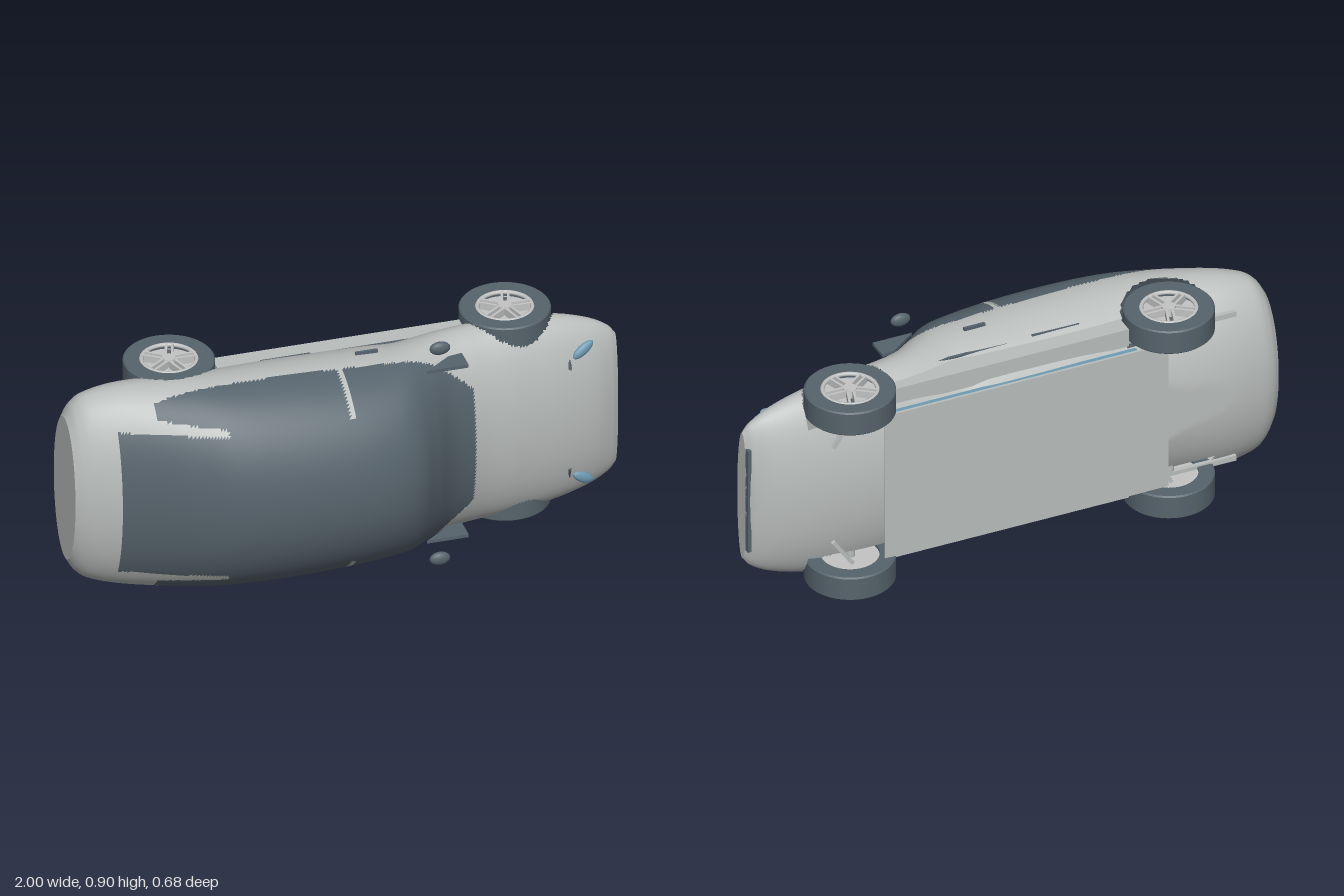
import * as THREE from 'three';

const mat = (name, color, side = THREE.FrontSide) => {
  const m = new THREE.MeshStandardMaterial({ color, side });
  m.name = name;
  return m;
};

const MID = 0.45; // height of the car's centre plane: the car lies on its side, roof towards +z
const WHEELS = [-0.59, 0.625], WHEEL_Z = -0.185;

// Stations along the car: x, roof z, underside z, half width
const STATIONS = [
  [-1, 0.055, -0.205, 0.28], [-0.97, 0.075, -0.228, 0.33], [-0.92, 0.1, -0.243, 0.365],
  [-0.8, 0.155, -0.258, 0.392], [-0.6, 0.25, -0.265, 0.402], [-0.45, 0.305, -0.28, 0.402],
  [-0.25, 0.331, -0.3, 0.4], [-0.05, 0.335, -0.31, 0.393], [0.1, 0.318, -0.31, 0.387],
  [0.19, 0.283, -0.29, 0.384], [0.27, 0.21, -0.28, 0.383], [0.36, 0.127, -0.27, 0.383],
  [0.48, 0.075, -0.26, 0.385], [0.62, 0.047, -0.255, 0.384], [0.78, 0.018, -0.24, 0.366],
  [0.9, -0.012, -0.212, 0.332], [0.97, -0.045, -0.175, 0.295], [1, -0.067, -0.145, 0.26]];

// Glass covers the windscreen, roof and rear screen in one sweep, plus the side windows
function isGlass(x, w, z) {
  if (z < 0.056 || x < -0.85 || x > 0.44 - Math.max(0, w - 0.23)) return false;
  if (w < 0.28) return true;
  if (Math.abs(x + 0.045) < 0.01 && w > 0.285) return false;              // centre pillar
  if (x < -0.49) return x > -0.72 && w > 0.3 + (-0.49 - x) * 0.1;         // rear pillar
  return true;
}

// Lofted elliptical shell with wheel arches left open
function bodyGeometry() {
  const heights = new THREE.CatmullRomCurve3(STATIONS.map(s => new THREE.Vector3(s[0], s[1], s[2])), false, 'catmullrom', 0.5);
  const widths = new THREE.CatmullRomCurve3(STATIONS.map(s => new THREE.Vector3(s[0], s[3], 0)), false, 'catmullrom', 0.5);
  const NX = 238, NT = 160, pos = [], paint = [], glass = [];
  for (let i = 0; i <= NX; i++) {
    const h = heights.getPoint(i / NX), a = widths.getPoint(i / NX).y;
    for (let j = 0; j < NT; j++) {
      const t = (j / NT) * Math.PI * 2;
      const z = (h.y + h.z) / 2 + (h.y - h.z) / 2 * Math.sin(t);
      pos.push(h.x, MID + a * Math.cos(t), Math.max(z, -0.258));
    }
  }
  const addTri = (...v) => {
    const c = k => (pos[v[0] * 3 + k] + pos[v[1] * 3 + k] + pos[v[2] * 3 + k]) / 3;
    const x = c(0), w = Math.abs(c(1) - MID), z = c(2);
    if (w > 0.27 && WHEELS.some(cx => Math.hypot(x - cx, z - WHEEL_Z) < 0.166)) return;
    (isGlass(x, w, z) ? glass : paint).push(...v);
  };
  for (let i = 0; i < NX; i++) for (let j = 0; j < NT; j++) {
    const k = (j + 1) % NT, a = i * NT + j, b = i * NT + k, c = a + NT, d = b + NT;
    addTri(a, b, c);
    addTri(b, d, c);
  }
  const g = new THREE.BufferGeometry();
  g.setAttribute('position', new THREE.Float32BufferAttribute(pos, 3));
  g.setIndex([...paint, ...glass]);
  g.addGroup(0, paint.length, 0);
  g.addGroup(paint.length, glass.length, 1);
  g.computeVertexNormals();
  return g;
}

export function createModel() {
  const silver = mat('silver paint', 0xb9bdbb, THREE.DoubleSide);
  const dark = mat('dark slate', 0x56636c, THREE.DoubleSide);
  const blue = mat('blue', 0x6f9bb3);
  const rimMat = mat('wheel metal', 0xc2c4c3);
  const car = new THREE.Group();
  car.name = 'car';

  const add = (name, geo, material, x, y, z, parent = car) => {
    const m = new THREE.Mesh(geo, material);
    m.name = name;
    m.position.set(x, y, z);
    parent.add(m);
    return m;
  };
  const box = (name, material, x, y, z, sx, sy, sz, parent) =>
    add(name, new THREE.BoxGeometry(sx, sy, sz), material, x, y, z, parent);

  add('bodyShell', bodyGeometry(), [silver, dark], 0, 0, 0);

  // Flat oval ends
  const endCap = (name, s, turn) => {
    const cap = add(name, new THREE.CircleGeometry(1, 80), silver, s[0], MID, (s[1] + s[2]) / 2);
    cap.scale.set((s[1] - s[2]) / 2, s[3], 1);
    cap.rotation.y = turn;
  };
  endCap('tailPanel', STATIONS[0], -Math.PI / 2);
  endCap('nosePanel', STATIONS[STATIONS.length - 1], Math.PI / 2);
  box('grilleBar', dark, 0.993, MID, -0.145, 0.014, 0.42, 0.02);

  // Underside
  box('floorPlate', silver, -0.01, MID, -0.266, 1.08, 0.59, 0.006);
  box('batteryTray', blue, 0.02, MID, -0.236, 0.94, 0.55, 0.044);

  // Wheel with its outer face towards +y
  function makeWheel() {
    const wheel = new THREE.Group();
    wheel.name = 'wheel';
    const tyre = [[0.103, -0.047], [0.155, -0.047], [0.16, -0.042], [0.16, 0.042], [0.155, 0.047], [0.103, 0.047], [0.103, -0.047]];
    const flat = new THREE.LatheGeometry(tyre.map(p => new THREE.Vector2(...p)), 56).toNonIndexed();
    flat.computeVertexNormals();
    add('tyre', flat, dark, 0, 0, 0, wheel);
    add('rimDisc', new THREE.CylinderGeometry(0.104, 0.104, 0.06, 40), rimMat, 0, -0.008, 0, wheel);
    const ring = add('rimRing', new THREE.TorusGeometry(0.096, 0.008, 8, 40), rimMat, 0, 0.042, 0, wheel);
    ring.rotation.x = Math.PI / 2;
    add('hub', new THREE.CylinderGeometry(0.024, 0.028, 0.03, 20), rimMat, 0, 0.036, 0, wheel);
    for (let i = 0; i < 5; i++) {
      const spoke = new THREE.Group();
      spoke.name = 'spoke';
      spoke.rotation.y = i * Math.PI * 2 / 5;
      wheel.add(spoke);
      for (const s of [-1, 1]) box('spokeBar', rimMat, 0.058, 0.035, s * 0.011, 0.08, 0.028, 0.009, spoke);
      box('spokeGap', dark, 0.062, 0.024, 0, 0.05, 0.006, 0.012, spoke);
    }
    return wheel;
  }

  // Triangular plate at the foot of the windscreen
  const sail = new THREE.Shape([[0.26, 0.095], [0.41, 0.095], [0.41, 0.012], [0.36, 0.02]].map(p => new THREE.Vector2(...p)));
  const sailGeo = new THREE.ExtrudeGeometry(sail, { depth: 0.012, bevelEnabled: false });
  sailGeo.rotateX(Math.PI / 2).scale(1, 1, 1);

  for (const s of [-1, 1]) {
    const y = w => MID + s * w;
    for (const x of WHEELS) {
      const wheel = makeWheel();
      wheel.position.set(x, y(0.343), WHEEL_Z);
      if (s < 0) wheel.rotation.x = Math.PI;
      car.add(wheel);
      add('axle', new THREE.CylinderGeometry(0.018, 0.018, 0.2, 16), silver, x, y(0.21), WHEEL_Z);
      const arm = box('suspensionArm', silver, x + 0.05, y(0.25), -0.235, 0.014, 0.13, 0.014);
      arm.rotation.z = s * 0.6;
    }
    // Sill, rails and tail bar
    box('sill', silver, 0.02, y(0.315), -0.16, 0.9, 0.07, 0.085);
    box('floorRail', silver, 0.02, y(0.292), -0.264, 0.98, 0.008, 0.01);
    box('tailBar', silver, -0.6, y(0.3), -0.195, 0.48, 0.02, 0.016);
    box('rearSillSlot', dark, -0.19, y(0.361), -0.113, 0.18, 0.008, 0.01);
    box('frontSillSlot', dark, 0.13, y(0.355), -0.113, 0.27, 0.008, 0.01);
    box('doorHandle', dark, 0.075, y(0.392), -0.02, 0.08, 0.012, 0.01);

    // Mirror and its plate
    const mirror = add('mirror', new THREE.SphereGeometry(1, 24, 16), dark, 0.31, y(0.425), 0.081);
    mirror.scale.set(0.037, 0.025, 0.017);
    const plate = add('mirrorPlate', sailGeo, dark, 0, y(0.343) + 0.006, 0);
    plate.name = 'mirrorPlate';

    // Headlight and small marker
    const lamp = add('headlight', new THREE.SphereGeometry(1, 24, 16), blue, 0.862, y(0.257), -0.032);
    lamp.scale.set(0.046, 0.02, 0.014);
    lamp.rotation.set(0, 0.25, s * 0.55);
    const marker = add('noseMarker', new THREE.ConeGeometry(0.02, 0.04, 3), dark, 0.808, y(0.222), -0.01);
    marker.scale.set(0.6, 1, 0.8);
    marker.rotation.z = s > 0 ? 0 : Math.PI;
  }
  return car;
}
